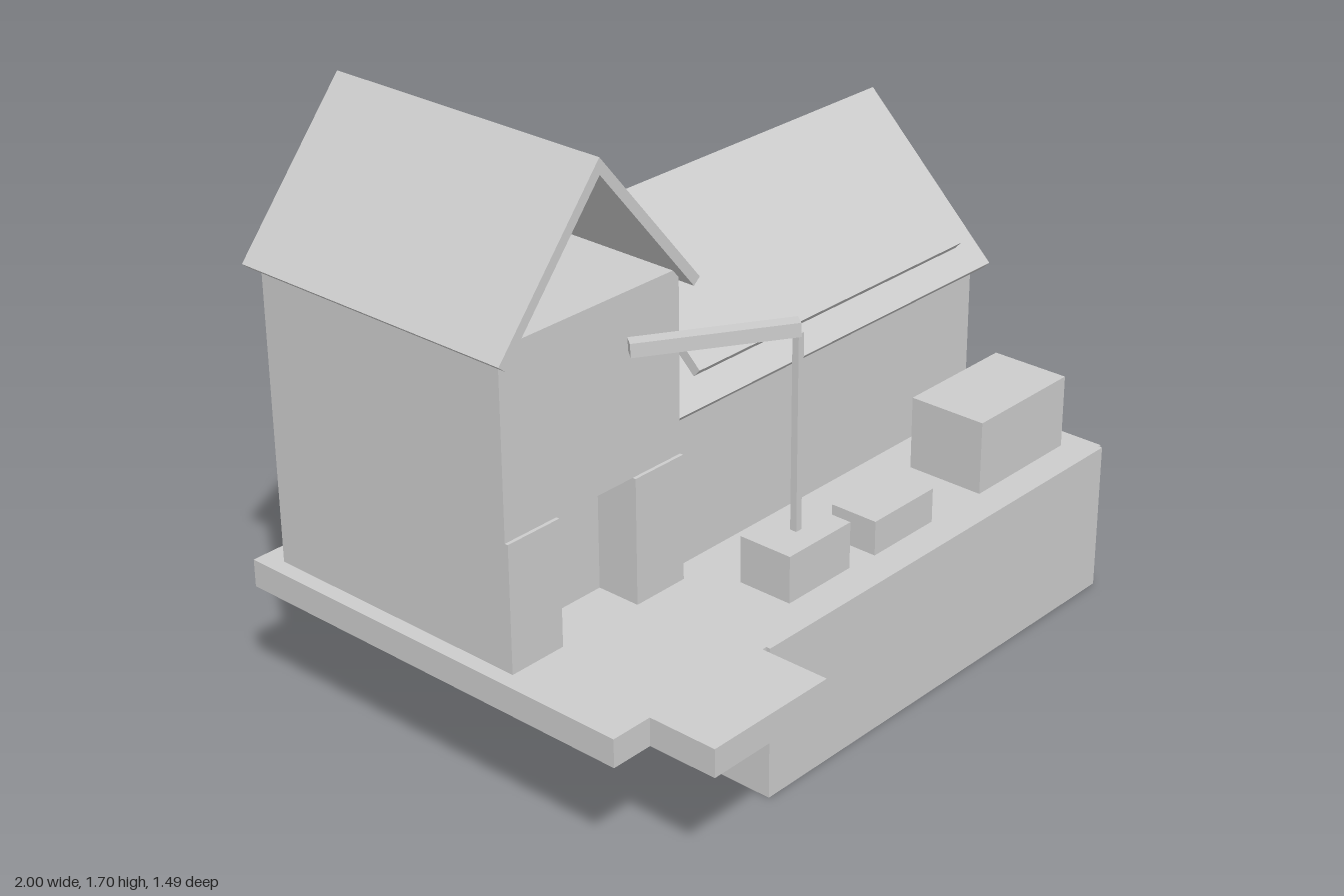
import * as THREE from 'three';

export function createModel() {
  const group = new THREE.Group();
  const plaster = new THREE.MeshStandardMaterial({ color: 0xcccccc });
  plaster.name = 'light grey plaster';

  const add = (name, geometry) => {
    const mesh = new THREE.Mesh(geometry, plaster);
    mesh.name = name;
    group.add(mesh);
    return mesh;
  };
  // box given by its limits on each axis
  const block = (name, [x0, x1], [y0, y1], [z0, z1]) => {
    const mesh = add(name, new THREE.BoxGeometry(x1 - x0, y1 - y0, z1 - z0));
    mesh.position.set((x0 + x1) / 2, (y0 + y1) / 2, (z0 + z1) / 2);
    return mesh;
  };
  // open gable roof: two thin sloping sheets meeting at a ridge
  const roof = (name, halfWidth, eaveY, ridgeY, t, length) => {
    const rise = ridgeY - eaveY, slope = Math.hypot(halfWidth, rise);
    const ix = halfWidth - t * rise / slope, iy = eaveY - t * halfWidth / slope;
    const shape = new THREE.Shape([
      [-halfWidth, eaveY], [-ix, iy], [0, ridgeY - t * slope / halfWidth],
      [ix, iy], [halfWidth, eaveY], [0, ridgeY],
    ].map(([x, y]) => new THREE.Vector2(x, y)));
    return add(name, new THREE.ExtrudeGeometry(shape, { depth: length, bevelEnabled: false }));
  };

  // terrace slab with its entrance landing
  block('terraceSlab', [-1, 1], [0.36, 0.44], [-0.748, 0.54]);
  block('entranceLanding', [-0.875, -0.465], [0.36, 0.44], [0.54, 0.745]);

  // retaining walls below the terrace, open at the back
  block('frontRetainingWall', [-0.45, 0.99], [0, 0.44], [0.505, 0.552]);
  block('sideRetainingWall', [0.945, 1], [0, 0.36], [-0.748, 0.51]);
  block('returnRetainingWall', [-0.45, -0.4], [0, 0.36], [0.04, 0.505]);

  // tower with a recessed entrance on the ground floor
  const tx = [-0.955, -0.335];
  block('towerGroundFloor', tx, [0.44, 0.8], [-0.68, 0.03]);
  block('entranceWallRight', [-0.955, -0.78], [0.44, 0.8], [0.03, 0.162]);
  block('entranceWallLeft', [-0.51, -0.335], [0.44, 0.8], [0.03, 0.162]);
  block('towerUpperFloor', tx, [0.8, 1.31], [-0.68, 0.152]);
  roof('towerRoof', 0.345, 1.287, 1.7, 0.028, 0.9).position.set(-0.645, 0, -0.71);

  // long wing
  block('wingWalls', [-0.335, 0.94], [0.44, 0.92], [-0.68, 0.107]);
  const wingRoof = roof('wingRoof', 0.432, 0.895, 1.317, 0.028, 1.31);
  wingRoof.rotation.y = Math.PI / 2;
  wingRoof.position.set(-0.335, 0, -0.285);

  // panel floating just above the front roof slope
  const panel = add('roofPanel', new THREE.BoxGeometry(1.095, 0.03, 0.385));
  panel.position.set(0.318, 1.106, -0.025);
  panel.rotation.x = 0.755;

  // boxes standing on the terrace
  block('smallTerraceBox', [0.085, 0.33], [0.44, 0.54], [0.31, 0.455]);
  block('largeTerraceBox', [0.54, 0.925], [0.44, 0.655], [0.22, 0.457]);

  // post on a raised block, with a beam running back to the tower
  block('postBlock', [-0.33, -0.092], [0.5, 0.633], [0.35, 0.512]);
  block('post', [-0.222, -0.202], [0.633, 1.18], [0.422, 0.442]);
  const start = new THREE.Vector3(-0.211, 1.196, 0.436);
  const end = new THREE.Vector3(-0.541, 1.175, 0.176);
  const beam = add('beam', new THREE.BoxGeometry(0.04, 0.038, start.distanceTo(end)));
  beam.position.copy(start).add(end).multiplyScalar(0.5);
  beam.lookAt(end);

  return group;
}
